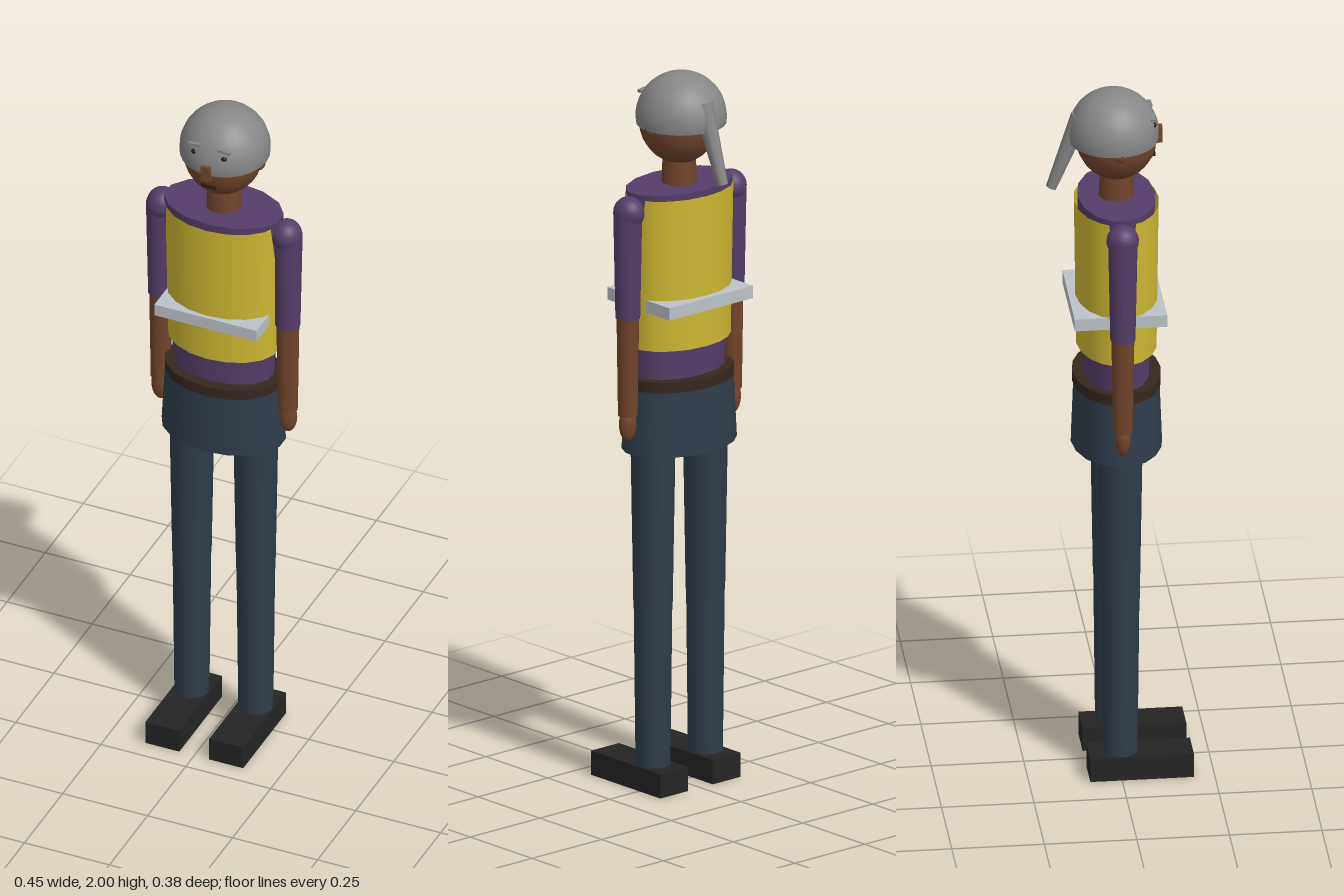
import * as THREE from 'three';

const mat = (color, side = THREE.FrontSide) => new THREE.MeshStandardMaterial({ color, side });

export function createModel() {
  const model = new THREE.Group();
  const skin = mat(0x70452c), shirt = mat(0x553d68), denim = mat(0x2f3c4a), shoeMat = mat(0x242424);
  const hairMat = mat(0x868686, THREE.DoubleSide), vestMat = mat(0xccb832, THREE.DoubleSide);
  const silver = mat(0xbcc2c8), leather = mat(0x35271f), dark = mat(0x2a1a14);

  const add = (name, geometry, material, x = 0, y = 0, z = 0) => {
    const mesh = new THREE.Mesh(geometry, material);
    mesh.name = name;
    mesh.position.set(x, y, z);
    model.add(mesh);
    return mesh;
  };
  // Tapered tube between two heights; depth squashes it along z
  const taper = (name, material, rTop, rBottom, y0, y1, { x = 0, z = 0, depth = 1, sides = 14, open = false } = {}) => {
    const geometry = new THREE.CylinderGeometry(rTop, rBottom, y1 - y0, sides, 1, open);
    geometry.scale(1, 1, depth);
    return add(name, geometry, material, x, (y0 + y1) / 2, z);
  };
  const ball = (name, material, rx, ry, rz, x, y, z) =>
    add(name, new THREE.SphereGeometry(1, 20, 14).scale(rx, ry, rz), material, x, y, z);
  const box = (name, material, w, h, d, x, y, z) =>
    add(name, new THREE.BoxGeometry(w, h, d), material, x, y, z);

  // Torso and clothing
  taper('torso', shirt, 0.17, 0.143, 1.15, 1.69, { depth: 0.62 });
  taper('vest', vestMat, 0.166, 0.158, 1.25, 1.675, { depth: 0.69, sides: 18, open: true });
  box('reflectiveBand', silver, 0.3, 0.035, 0.25, 0, 1.376, -0.004);
  taper('hips', denim, 0.166, 0.176, 0.955, 1.137, { depth: 0.7, sides: 18 });
  taper('belt', leather, 0.166, 0.166, 1.135, 1.165, { depth: 0.72, sides: 18 });

  // Head
  taper('neck', skin, 0.044, 0.048, 1.685, 1.78);
  ball('head', skin, 0.108, 0.118, 0.11, 0, 1.863, 0);
  add('hair', new THREE.SphereGeometry(0.123, 24, 14, 0, Math.PI * 2, 0, Math.PI * 0.55),
    hairMat, 0, 1.877, -0.008);
  box('nose', skin, 0.026, 0.045, 0.03, 0, 1.866, 0.109);
  box('mouth', dark, 0.042, 0.008, 0.012, 0, 1.813, 0.098);

  // Ponytail hangs down and back from the crown
  const tailTop = new THREE.Vector3(0, 1.93, -0.096), tailEnd = new THREE.Vector3(0, 1.72, -0.176);
  const tail = add('ponytail', new THREE.CylinderGeometry(0.028, 0.015, tailTop.distanceTo(tailEnd), 8), hairMat);
  tail.position.lerpVectors(tailTop, tailEnd, 0.5);
  tail.quaternion.setFromUnitVectors(new THREE.Vector3(0, 1, 0), tailTop.clone().sub(tailEnd).normalize());

  // Mirrored parts
  for (const [side, s] of [['left', 1], ['right', -1]]) {
    ball(side + 'Ear', skin, 0.014, 0.022, 0.018, s * 0.107, 1.858, 0);
    ball(side + 'Eye', dark, 0.01, 0.008, 0.01, s * 0.043, 1.913, 0.094);
    const brow = box(side + 'Brow', hairMat, 0.036, 0.008, 0.012, s * 0.043, 1.935, 0.094);
    brow.rotation.z = -s * 0.1;

    // Arm
    const arm = { x: s * 0.187, z: -0.003, sides: 12 };
    ball(side + 'Shoulder', shirt, 0.042, 0.045, 0.044, s * 0.183, 1.64, -0.003);
    taper(side + 'Sleeve', shirt, 0.04, 0.034, 1.345, 1.645, arm);
    taper(side + 'Forearm', skin, 0.031, 0.027, 1.07, 1.348, arm);
    ball(side + 'Hand', skin, 0.026, 0.048, 0.021, s * 0.187, 1.045, -0.003);

    // Leg
    const leg = { x: s * 0.094, sides: 16 };
    taper(side + 'Thigh', denim, 0.061, 0.053, 0.52, 1.0, leg);
    taper(side + 'Shin', denim, 0.052, 0.047, 0.06, 0.525, leg);
    box(side + 'Shoe', shoeMat, 0.1, 0.068, 0.28, s * 0.094, 0.034, 0.054);
  }
  return model;
}
